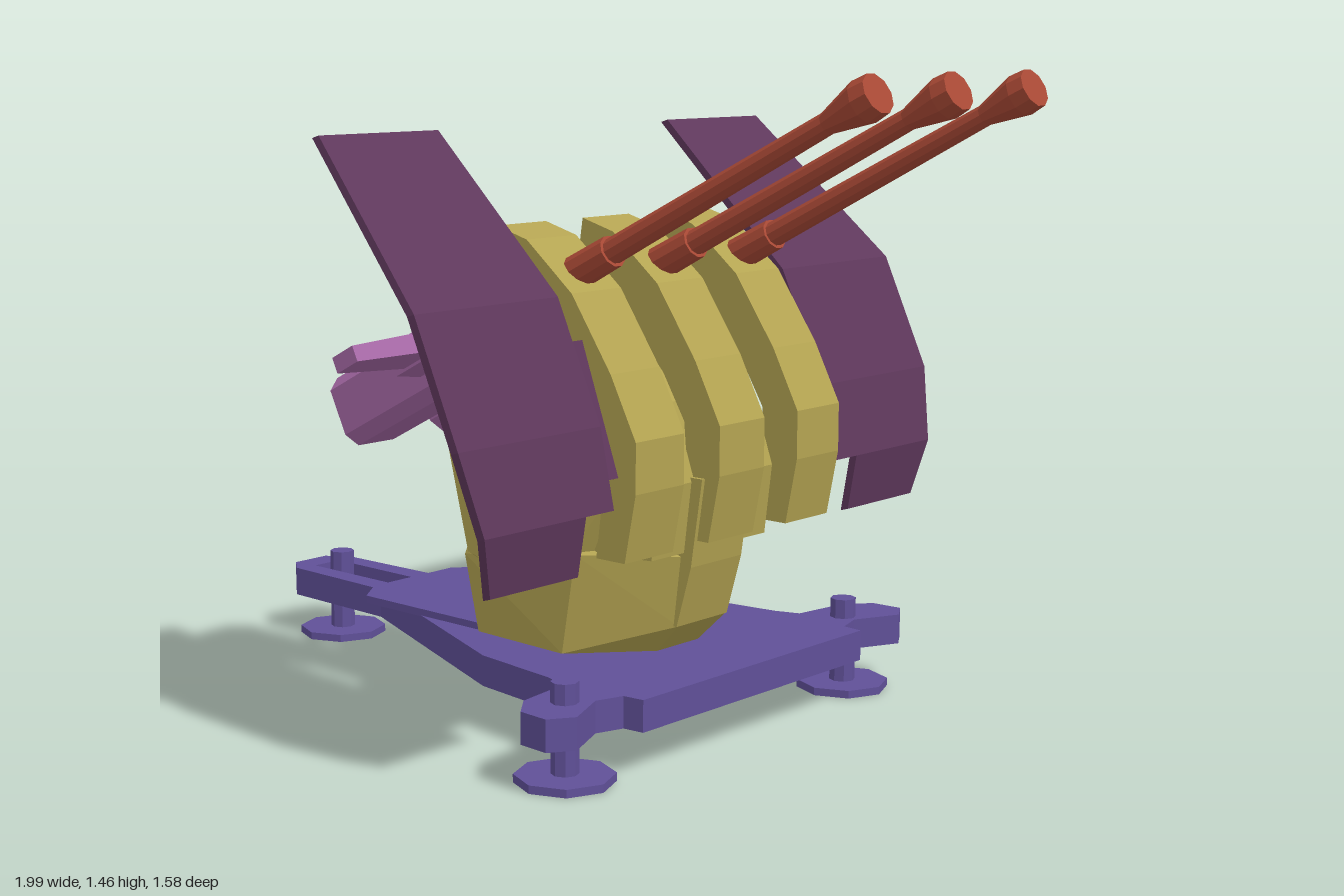
import * as THREE from 'three';
import { ConvexGeometry } from 'three/addons/geometries/ConvexGeometry.js';

export function createModel() {
  const root = new THREE.Group();
  root.name = 'tripleGunMount';
  const mat = (name, color) => {
    const m = new THREE.MeshStandardMaterial({ color });
    m.name = name;
    return m;
  };
  const violet = mat('violet base', 0x605098);
  const olive = mat('olive yellow', 0xb4a452);
  const pink = mat('pink breech', 0xa86aa8);
  const rust = mat('rust barrel', 0xab4a36);
  const plum = mat('plum shield', 0x5f385c);

  // Helpers
  const add = (name, geo, material, parent = root) => {
    const flat = geo.index ? geo.toNonIndexed() : geo;
    flat.computeVertexNormals();
    const mesh = new THREE.Mesh(flat, material);
    mesh.name = name;
    parent.add(mesh);
    return mesh;
  };
  const shapeOf = (pts) => new THREE.Shape(pts.map((p) => new THREE.Vector2(p[0], p[1])));
  const extrude = (shape, depth) => new THREE.ExtrudeGeometry(shape, { depth, bevelEnabled: false });
  // side profile (x, y) swept between two z values
  const sideSlab = (pts, z0, z1) => extrude(shapeOf(pts), z1 - z0).translate(0, 0, z0);
  // plan outline (x, z) swept between two heights
  const planSlab = (shape, y0, y1) => extrude(shape, y1 - y0).rotateX(Math.PI / 2).translate(0, y1, 0);
  const hull = (pts) => new ConvexGeometry(pts.map((p) => new THREE.Vector3(...p)));
  // closes a half outline by mirroring it across z = 0
  const mirrored = (half) => [...half, ...half.map(([x, z]) => [x, -z]).reverse()];

  // Base plate with slotted rear arm and two outrigger stubs
  const base = shapeOf(mirrored([
    [-1, 0.05], [-0.95, 0.09], [-0.62, 0.1], [0, 0.36], [0.23, 0.39], [0.29, 0.41],
    [0.31, 0.55], [0.36, 0.61], [0.435, 0.615], [0.47, 0.56], [0.42, 0.45], [0.44, 0.385], [0.49, 0.38],
  ]));
  base.holes.push(new THREE.Path(
    [[-0.935, -0.04], [-0.19, -0.04], [-0.19, 0.04], [-0.935, 0.04]].map((p) => new THREE.Vector2(...p))));
  add('basePlate', planSlab(base, 0.1, 0.17), violet);
  add('deckPlate', planSlab(shapeOf(mirrored([[-0.61, 0.13], [-0.55, 0.21], [-0.1, 0.21]])), 0.168, 0.186), violet);

  // Levelling feet
  for (const [x, z] of [[-0.87, 0.005], [0.38, 0.5], [0.38, -0.46]]) {
    add('footPad', new THREE.CylinderGeometry(0.108, 0.108, 0.018, 8).translate(x, 0.009, z), violet);
    add('footPost', new THREE.CylinderGeometry(0.03, 0.03, 0.205, 8).translate(x, 0.1125, z), violet);
  }

  // Pedestal, flared upward with a chamfered front
  const pedestal = [];
  for (const s of [1, -1]) {
    pedestal.push(
      [-0.155, 0.17, 0.22 * s], [0.12, 0.17, 0.232 * s], [0.26, 0.17, 0.07 * s],
      [-0.185, 0.35, 0.232 * s], [0.16, 0.4, 0.232 * s], [0.33, 0.24, 0.08 * s],
      [0.35, 0.4, 0.08 * s], [-0.14, 0.52, 0.2 * s]);
  }
  add('pedestal', hull(pedestal), olive);
  add('frontRib', sideSlab([[0.2, 0.24], [0.33, 0.24], [0.37, 0.38], [0.4, 0.58], [0.2, 0.58]], -0.087, 0.087), olive);

  // Trunnion disc with bevelled rims
  const rim = [[-0.22, 0.59], [0, 0.9], [0.06, 0.9], [0.17, 0.86], [0.25, 0.74], [0.258, 0.57],
    [0.18, 0.4], [0.08, 0.31], [-0.02, 0.28], [-0.18, 0.35]];
  const face = [[-0.23, 0.59], [0, 0.9], [0.05, 0.87], [0.18, 0.78], [0.22, 0.7], [0.215, 0.57],
    [0.14, 0.39], [0.09, 0.35], [0, 0.31], [-0.17, 0.36]];
  const disc = [];
  for (const s of [1, -1]) {
    rim.forEach(([x, y]) => disc.push([x, y, 0.196 * s]));
    face.forEach(([x, y]) => disc.push([x, y, 0.237 * s]));
  }
  add('trunnionDisc', hull(disc), olive);

  // Curved mantle behind the gun strips
  add('mantle', sideSlab([[-0.02, 0.9], [0.05, 0.91], [0.2, 0.86], [0.31, 0.74], [0.37, 0.57],
    [0.35, 0.41], [0.18, 0.4], [0.1, 0.6]], -0.195, 0.195), olive);

  // Curved armour strips, one for each gun
  const strip = [[0.04, 1.125], [0.13, 1.1], [0.26, 0.995], [0.37, 0.835], [0.44, 0.7], [0.44, 0.59], [0.41, 0.44],
    [0.33, 0.44], [0.35, 0.59], [0.34, 0.7], [0.28, 0.8], [0.18, 0.91], [0.03, 1.06]];
  for (const z of [0.272, 0, -0.272]) add('armourStrip', sideSlab(strip, z - 0.077, z + 0.077), olive);

  // Tapered block along z, from half sizes (u, v) at z0 to those at z1
  const taper = (u, v, a, z0, b, z1) => {
    const pts = [];
    for (const [[hu, hv], z] of [[a, z0], [b, z1]]) {
      for (const i of [1, -1]) for (const j of [1, -1]) pts.push([u + hu * i, v + hv * j, z]);
    }
    return hull(pts);
  };

  // Guns: local x runs along the bore
  const alongBore = (r0, r1, u0, u1, sides) =>
    new THREE.CylinderGeometry(r1, r0, u1 - u0, sides).rotateZ(-Math.PI / 2).translate((u0 + u1) / 2, 0, 0);
  for (const [z, handleSide, hasBar] of [[0.27, 1, true], [0, 1, false], [-0.277, -1, true]]) {
    const gun = new THREE.Group();
    gun.name = 'gun';
    gun.position.set(0.1, 0.977, z);
    gun.rotation.z = 0.471;
    root.add(gun);

    // Breech box with chamfered long edges and tapered front
    const section = [[0.055, -0.105], [0.083, -0.075], [0.083, 0.035], [0.05, 0.063]];
    const breech = [];
    for (const s of [1, -1]) {
      for (const [w, v] of section) breech.push([-0.66, v, w * s], [-0.1, v, w * s]);
      breech.push([-0.05, 0.05, 0.05 * s], [-0.05, -0.06, 0.05 * s]);
    }
    add('breech', hull(breech), pink, gun);
    add('breechNeck', alongBore(0.055, 0.052, -0.09, 0.03, 8), pink, gun);

    // Side handle
    const h = handleSide;
    add('handleBlock', taper(-0.27, -0.01, [0.09, 0.038], 0.07 * h, [0.08, 0.03], 0.16 * h), pink, gun);
    if (hasBar) add('handleBar', taper(-0.265, -0.01, [0.055, 0.024], 0.15 * h, [0.036, 0.018], 0.365 * h), pink, gun);

    // Barrel: sleeve, tube, flash cone and lip
    for (const [name, r0, r1, u0, u1] of [
      ['barrelSleeve', 0.04, 0.036, 0.02, 0.23], ['barrelTube', 0.029, 0.023, 0.2, 0.86],
      ['muzzleCone', 0.023, 0.046, 0.85, 0.945], ['muzzleLip', 0.046, 0.043, 0.945, 0.982],
    ]) add(name, alongBore(r0, r1, u0, u1, 10), rust, gun);
  }

  // Curved side shields: bands of [y, x, inner z, outer z]
  const bands = [
    [[1.325, -0.105, 0.38, 0.72], [0.99, 0.25, 0.38, 0.79]],
    [[0.99, 0.25, 0.38, 0.79], [0.73, 0.37, 0.38, 0.79]],
    [[0.73, 0.37, 0.38, 0.79], [0.558, 0.408, 0.38, 0.757]],
    [[0.558, 0.408, 0.465, 0.757], [0.428, 0.385, 0.465, 0.72]],
    [[0.9, 0.29, 0.34, 0.385], [0.62, 0.392, 0.34, 0.385]],
  ];
  for (const s of [1, -1]) {
    const shield = new THREE.Group();
    shield.name = s > 0 ? 'frontSideShield' : 'rearSideShield';
    root.add(shield);
    bands.forEach((band, i) => {
      const pts = [];
      for (const [y, x, zi, zo] of band) {
        for (const z of [zi, zo]) pts.push([x, y, z * s], [x - 0.02, y - 0.006, z * s]);
      }
      add(i < 4 ? 'shieldPanel' : 'shieldBracket', hull(pts), plum, shield);
    });
  }
  return root;
}
